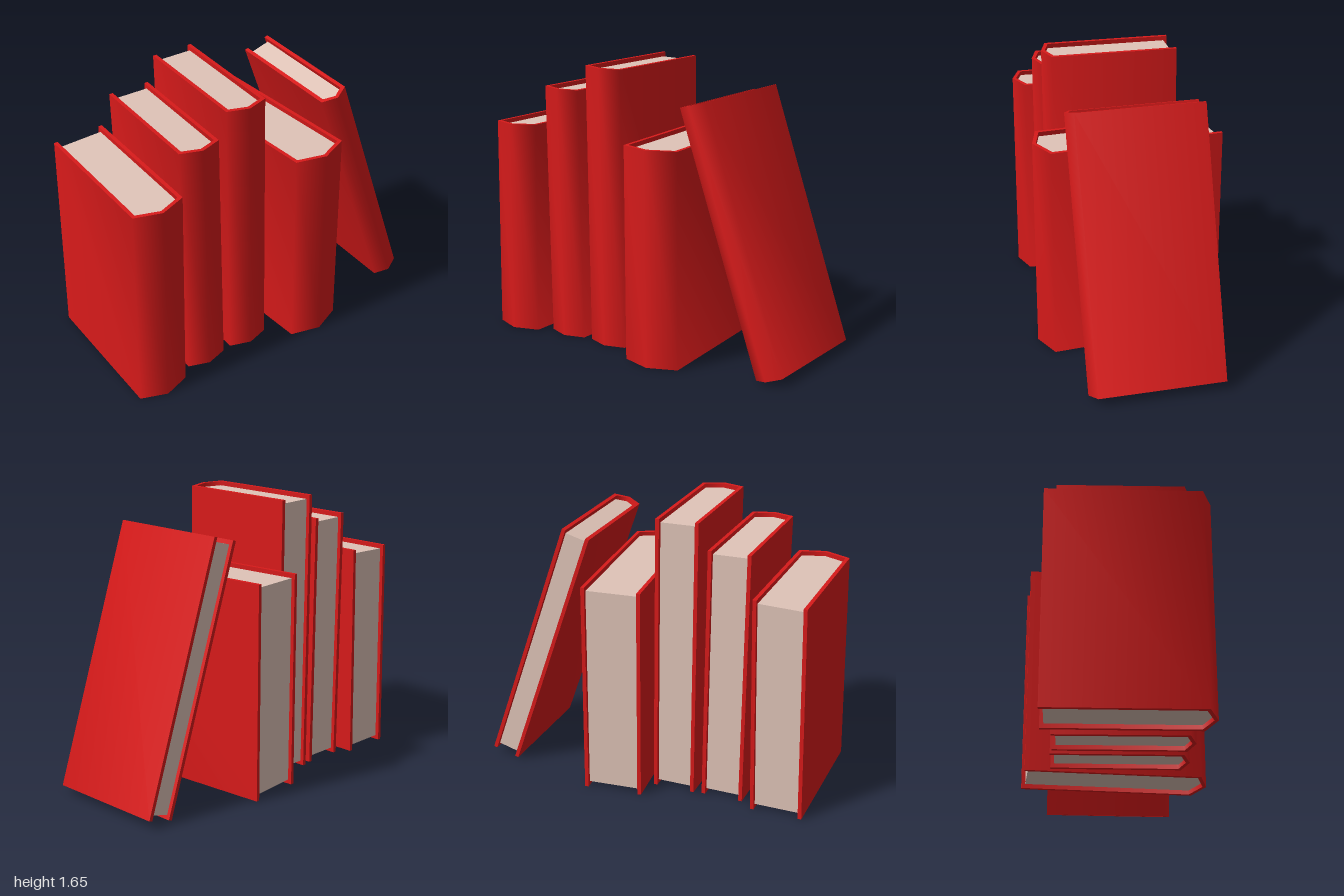
import * as THREE from 'three';
import { toCreasedNormals } from 'three/addons/utils/BufferGeometryUtils.js';

const COVER = 0.022; // board thickness
const INSET = 0.025; // pages stand back from the cover edges

const coverMaterial = new THREE.MeshStandardMaterial({ color: 0xd81a1a });
const pageMaterial = new THREE.MeshStandardMaterial({ color: 0xe0c4b8 });

// x, y: foot of the book; w, h: width and height; front/back: z of spine ridge and rear edge;
// corner: z where the spine meets the boards; yaw and tilt turn it, lean and slope skew it
const books = [
  { x: -0.835, w: 0.305, h: 1.275, front: 0.455, corner: 0.4, back: -0.455, yaw: -0.033, lean: 0.016, slope: 0.03 },
  { x: -0.492, w: 0.248, h: 1.502, front: 0.385, corner: 0.345, back: -0.385, yaw: -0.04, lean: -0.012, slope: -0.015 },
  { x: -0.193, w: 0.251, h: 1.647, front: 0.385, corner: 0.345, back: -0.385, yaw: -0.032, lean: -0.009, slope: -0.015 },
  { x: 0.175, w: 0.345, h: 1.255, front: 0.53, corner: 0.47, back: -0.535, yaw: 0.06, lean: -0.004, slope: 0 },
  { x: 0.907, y: 0.03, w: 0.17, h: 1.55, front: 0.385, corner: 0.345, back: -0.385, yaw: -0.02, lean: -0.06, slope: 0, tilt: 0.275 },
];

// Upright prism from a plan outline of [x, z] points, turned and skewed like its book
function prism(outline, bottom, top, b) {
  const shape = new THREE.Shape(outline.map(([x, z]) => new THREE.Vector2(x, -z)));
  const geo = new THREE.ExtrudeGeometry(shape, { depth: top - bottom, bevelEnabled: false });
  geo.rotateX(-Math.PI / 2).translate(0, bottom, 0).rotateY(b.yaw);
  const p = geo.attributes.position;
  for (let i = 0; i < p.count; i++) {
    const x = p.getX(i), y = p.getY(i);
    p.setXY(i, x + b.lean * y, y + (b.slope * x * y) / b.h);
  }
  return toCreasedNormals(geo, 1.35);
}

function makeBook(b) {
  const half = b.w / 2, inner = half - COVER;
  // Inside faces of the boards and spine
  const inside = (back) => [
    [-inner, back],
    [-inner, b.corner - COVER * 0.7],
    [0, b.front - COVER],
    [inner, b.corner - COVER * 0.7],
    [inner, back],
  ];
  const outside = [[half, b.back], [half, b.corner], [0, b.front], [-half, b.corner], [-half, b.back]];

  const cover = new THREE.Mesh(prism([...outside, ...inside(b.back)], 0, b.h, b), coverMaterial);
  cover.name = 'cover';
  const pages = new THREE.Mesh(prism(inside(b.back + 0.022), INSET, b.h - INSET, b), pageMaterial);
  pages.name = 'pages';

  const book = new THREE.Group();
  book.add(cover, pages);
  book.position.set(b.x, b.y ?? 0, 0);
  book.rotation.z = b.tilt ?? 0;
  book.name = b.tilt ? 'leaningBook' : 'standingBook';
  return book;
}

export function createModel() {
  const model = new THREE.Group();
  model.name = 'rowOfBooks';
  books.forEach((b) => model.add(makeBook(b)));
  return model;
}
